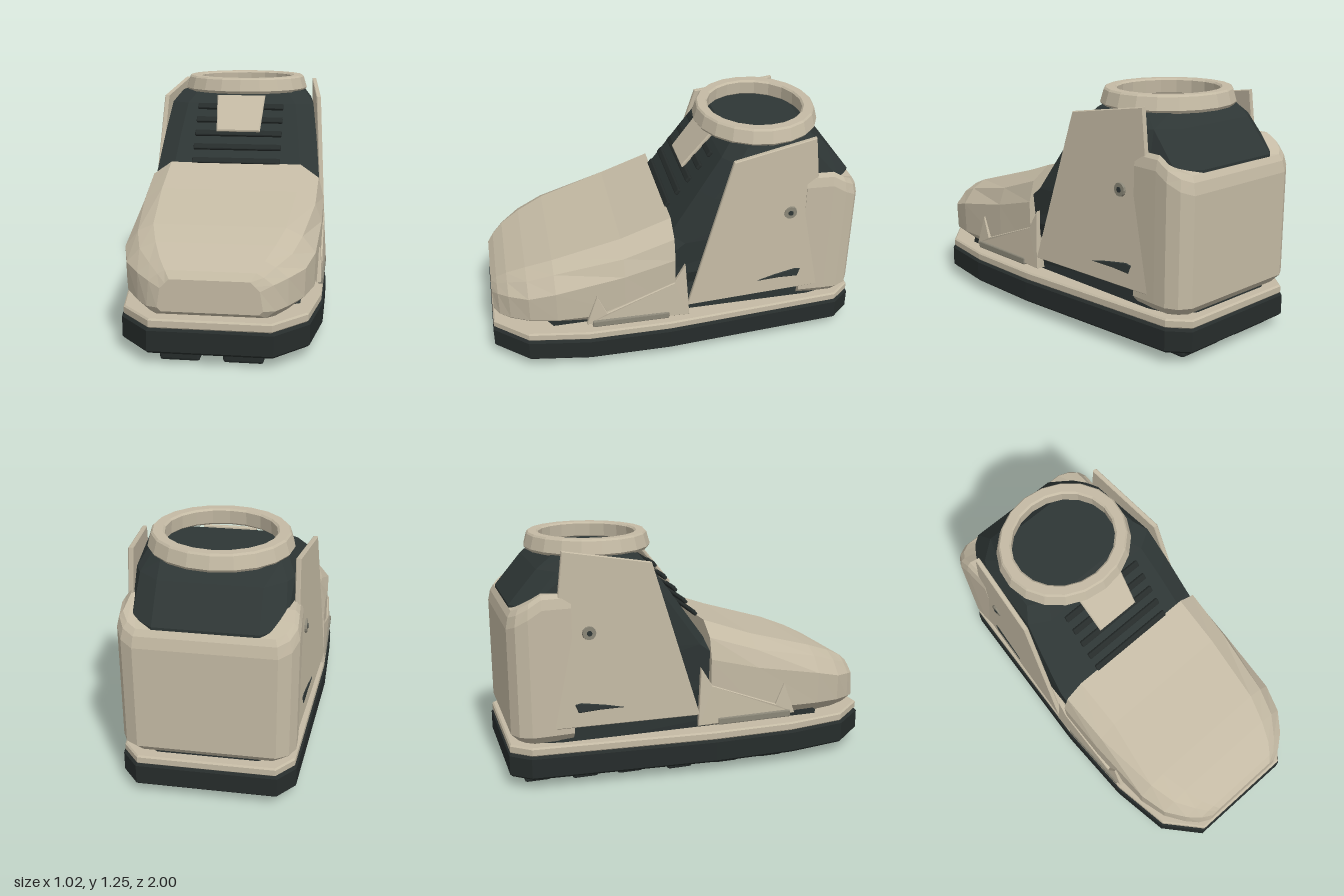
import * as THREE from 'three';
import { RoundedBoxGeometry } from 'three/addons/geometries/RoundedBoxGeometry.js';

const beige = new THREE.MeshStandardMaterial({ color: 0xc4baa4, flatShading: true });
const dark = new THREE.MeshStandardMaterial({ color: 0x2e3635, flatShading: true });
const rubber = new THREE.MeshStandardMaterial({ color: 0x262c2b, flatShading: true });
const metal = new THREE.MeshStandardMaterial({ color: 0x8b8778, flatShading: true });

// Solid through a list of closed rings, each an equal-length list of [x, y, z]
function loft(rings) {
  const pos = [];
  const tri = (...p) => p.forEach((v) => pos.push(...v));
  const n = rings[0].length;
  for (let k = 0; k < rings.length - 1; k++) {
    const a = rings[k], b = rings[k + 1];
    for (let i = 0; i < n; i++) {
      const j = (i + 1) % n;
      tri(a[i], a[j], b[j]);
      tri(a[i], b[j], b[i]);
    }
  }
  const first = rings[0], last = rings[rings.length - 1];
  for (let i = 1; i < n - 1; i++) {
    tri(first[0], first[i + 1], first[i]);
    tri(last[0], last[i], last[i + 1]);
  }
  const g = new THREE.BufferGeometry();
  g.setAttribute('position', new THREE.Float32BufferAttribute(pos, 3));
  g.computeVertexNormals();
  return g;
}

// Complete a half outline given on the +x side
const mirror = (half) => [...half, ...half.map(([x, ...r]) => [-x, ...r]).reverse()];

// Horizontal bevelled plate from a half plan of [x, z]
function slab(half, y0, y1, bevel) {
  const shape = new THREE.Shape(mirror(half).map(([x, z]) => new THREE.Vector2(x, -z)));
  const g = new THREE.ExtrudeGeometry(shape, {
    depth: y1 - y0 - 2 * bevel, bevelSize: bevel, bevelThickness: bevel, bevelOffset: -bevel, bevelSegments: 1,
  });
  return g.rotateX(-Math.PI / 2).translate(0, y0 + bevel, 0);
}

// Thin side plate from [z, y] corners, sheared so its outer x follows f(z, y)
function sidePlate(points, side, f, thick) {
  const shape = new THREE.Shape(points.map(([z, y]) => new THREE.Vector2(-z, y)));
  const b = 0.004;
  const g = new THREE.ExtrudeGeometry(shape, {
    depth: thick - 2 * b, bevelSize: b, bevelThickness: b, bevelOffset: -b, bevelSegments: 1,
  });
  g.rotateY(Math.PI / 2).translate(b - thick / 2, 0, 0);
  const p = g.attributes.position;
  for (let i = 0; i < p.count; i++) {
    p.setX(i, p.getX(i) + side * (f(p.getZ(i), p.getY(i)) - thick / 2));
  }
  g.computeVertexNormals();
  return g;
}

export function createModel() {
  const model = new THREE.Group();
  const add = (name, geometry, material) => {
    const m = new THREE.Mesh(geometry, material);
    m.name = name;
    model.add(m);
    return m;
  };

  // Sole and midsole
  const plan = [[0.3, 1], [0.46, 0.82], [0.51, 0.5], [0.51, 0.06], [0.435, -0.9], [0.35, -1]];
  add('outsole', slab(plan, 0.055, 0.18, 0.012), rubber);
  add('midsole', slab(plan.map(([x, z]) => [x - 0.008, z * 0.995]), 0.178, 0.225, 0.008), beige);

  // Treads: rows of [centre z, outer x], with small cleats on the centre line
  const rows = [[0.87, 0.25], [0.68, 0.33], [0.42, 0.4], [0.16, 0.4], [-0.105, 0.4], [-0.37, 0.37], [-0.61, 0.36], [-0.855, 0.33]];
  for (const [z, outer] of rows) {
    for (const s of [-1, 1]) {
      const bar = add('treadBar', new RoundedBoxGeometry(outer - 0.055, 0.075, 0.138, 1, 0.014), rubber);
      bar.position.set(s * (outer + 0.055) / 2, 0.0375, z);
    }
  }
  for (const z of [0.76, 0.29, 0.03, -0.2, -0.48, -0.73]) {
    add('treadCleat', new RoundedBoxGeometry(0.14, 0.04, 0.09, 1, 0.01), rubber).position.set(0, 0.049, z);
  }

  // Inner boot: [y, front z, front half width, rear half width, back z]
  const levels = [
    [0.2, 0.75, 0.4, 0.39, -0.94], [0.32, 0.7, 0.42, 0.395, -0.955], [0.5, 0.3, 0.465, 0.395, -0.955],
    [0.7, 0.04, 0.462, 0.395, -0.955], [0.93, -0.12, 0.435, 0.39, -0.955], [1.1, -0.24, 0.41, 0.38, -0.81],
    [1.165, -0.3, 0.36, 0.34, -0.73],
  ];
  add('innerBoot', loft(levels.map(([y, zf, wf, wr, zb]) => mirror([
    [wf - 0.1, y, zf], [wf, y, zf - 0.06], [wr, y, Math.max(-0.74, zb + 0.14)],
    [wr - 0.03, y, zb + 0.08], [0.25, y, zb],
  ]))), dark);

  // Toe cap: [z, half section from the bottom up]
  const toe = [
    [0.035, [[0.42, 0.235], [0.485, 0.32], [0.49, 0.62], [0.46, 0.73], [0.36, 0.8]]],
    [0.3, [[0.42, 0.235], [0.488, 0.32], [0.49, 0.55], [0.455, 0.64], [0.36, 0.705]]],
    [0.66, [[0.38, 0.235], [0.47, 0.31], [0.475, 0.48], [0.41, 0.56], [0.33, 0.6]]],
    [0.8, [[0.35, 0.235], [0.43, 0.3], [0.435, 0.44], [0.37, 0.51], [0.29, 0.547]]],
    [0.9, [[0.3, 0.235], [0.36, 0.285], [0.36, 0.42], [0.3, 0.47], [0.25, 0.498]]],
    [0.955, [[0.26, 0.24], [0.305, 0.275], [0.295, 0.4], [0.25, 0.435], [0.215, 0.455]]],
    [0.985, [[0.23, 0.262], [0.25, 0.28], [0.235, 0.375], [0.21, 0.4], [0.19, 0.42]]],
  ];
  add('toeCap', loft(toe.map(([z, half]) => mirror(half.map(([x, y]) => [x, y, z])))), beige);

  // Heel counter: [y, inset], its top falling towards the back
  const heel = [[0.235, 0.04], [0.28, 0], [0.93, 0], [0.98, 0.012], [1, 0.03]];
  add('heelCounter', loft(heel.map(([y, d]) => mirror([
    [0.424 - d, -0.675], [0.43 - d, -0.82], [0.43 - d, -0.89 + d * 0.4], [0.4 - d, -0.95 + d * 0.8], [0.34 - d * 0.5, -0.985 + d],
  ].map(([x, z]) => [x, y - (y > 0.5 ? Math.max(0, -0.82 - z) * 0.62 : 0), z])))), beige);

  // Side plates, rivets, vents and sill strips
  const quarterX = (z, y) => 0.505 + 0.1 * z - 0.03 * (y - 0.33);
  const quarter = [[-0.03, 0.33], [-0.27, 1.14], [-0.71, 1.21], [-0.735, 1.0], [-0.8, 0.31]];
  const foreX = (z, y) => 0.506 - 0.06 * (y - 0.27) - 0.03 * Math.max(0, z - 0.3);
  const fore = [[0.51, 0.28], [0.45, 0.45], [0.4, 0.34], [0.04, 0.48], [-0.02, 0.58], [-0.04, 0.27]];
  const vent = [[-0.42, 0.405], [-0.52, 0.425], [-0.64, 0.442], [-0.672, 0.435], [-0.655, 0.39], [-0.55, 0.4]];
  for (const s of [1, -1]) {
    add('quarterPanel', sidePlate(quarter, s, quarterX, 0.025), beige);
    add('foreSidePanel', sidePlate(fore, s, foreX, 0.025), beige);
    add('sideVent', sidePlate(vent, s, (z, y) => quarterX(z, y) + 0.004, 0.02), dark);
    for (const [name, r, out, mat] of [['rivet', 0.04, 0.008, metal], ['rivetCore', 0.016, 0.012, dark]]) {
      const g = new THREE.CylinderGeometry(r * 0.85, r, 0.03, 12).rotateZ(-s * Math.PI / 2);
      add(name, g, mat).position.set(s * (quarterX(-0.59, 0.8) + out - 0.015), 0.8, -0.59);
    }
    const strip = add('sillStrip', new RoundedBoxGeometry(0.03, 0.038, 0.41, 1, 0.006), metal);
    strip.position.set(s * 0.495, 0.283, 0.275);
  }

  // Instep ribs and tongue badge on the sloping front
  const slope = -Math.atan(0.81);
  for (let i = 0; i < 5; i++) {
    const rib = add('instepRib', new RoundedBoxGeometry(0.49, 0.035, 0.02, 1, 0.006), rubber);
    rib.position.set(0, 0.81 + i * 0.069, 0.028 - i * 0.056);
    rib.rotation.x = slope;
  }
  const tab = new THREE.Shape([[-0.122, -0.12], [0.122, -0.12], [0.138, 0.12], [-0.138, 0.12]].map((p) => new THREE.Vector2(...p)));
  const badge = add('tongueBadge', new THREE.ExtrudeGeometry(tab, {
    depth: 0.008, bevelSize: 0.006, bevelThickness: 0.006, bevelOffset: -0.006, bevelSegments: 1,
  }), beige);
  badge.position.set(0, 1.05, -0.155);
  badge.rotation.x = slope;

  // Ankle collar ring
  const ring = [[0.29, 1.16], [0.35, 1.16], [0.361, 1.175], [0.342, 1.238], [0.333, 1.247], [0.285, 1.247], [0.275, 1.238], [0.28, 1.17], [0.29, 1.16]];
  const collar = add('ankleCollar', new THREE.LatheGeometry(ring.map((p) => new THREE.Vector2(...p)), 20), beige);
  collar.scale.z = 0.92;
  collar.position.z = -0.495;

  return model;
}
